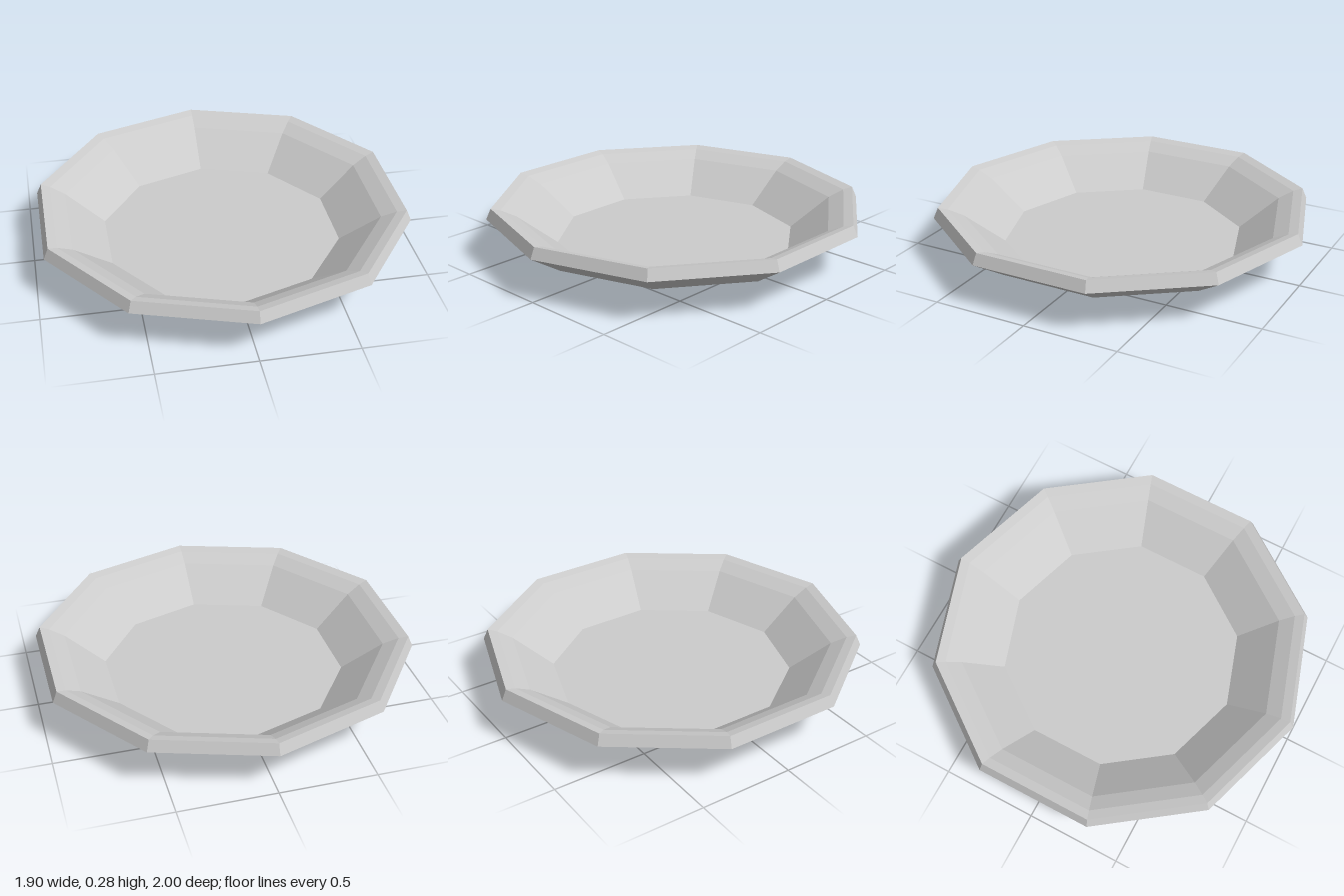
import * as THREE from 'three';

const SIDES = 10;

export function createModel() {
  const model = new THREE.Group();
  model.name = 'dish';
  const material = new THREE.MeshStandardMaterial({ color: 0xcccccc, flatShading: true });

  // Ten-sided ring surface from [radius, height] points
  const addLathe = (name, profile) => {
    const points = profile.map(([r, y]) => new THREE.Vector2(r, y));
    const mesh = new THREE.Mesh(new THREE.LatheGeometry(points, SIDES), material);
    mesh.name = name;
    model.add(mesh);
  };

  // Flat ten-sided disc facing up or down, with a corner on the z axis
  const addDisc = (name, radius, y, up) => {
    const geometry = new THREE.CircleGeometry(radius, SIDES, Math.PI / 2);
    geometry.rotateX(up ? -Math.PI / 2 : Math.PI / 2);
    const mesh = new THREE.Mesh(geometry, material);
    mesh.name = name;
    mesh.position.y = y;
    model.add(mesh);
  };

  // Underside, curving out from the base to the widest edge
  addDisc('base', 0.335, 0, false);
  addLathe('underside', [[0.335, 0], [0.575, 0.037], [0.82, 0.11], [1, 0.223]]);

  // Outer rim band, leaning slightly inward
  addLathe('rim', [[1, 0.223], [0.975, 0.28]]);

  // Inner wall, rounding over from the lip and down to the floor
  addLathe('innerWall', [[0.975, 0.28], [0.925, 0.268], [0.845, 0.23], [0.635, 0.071]]);
  addDisc('floor', 0.635, 0.071, true);

  return model;
}
